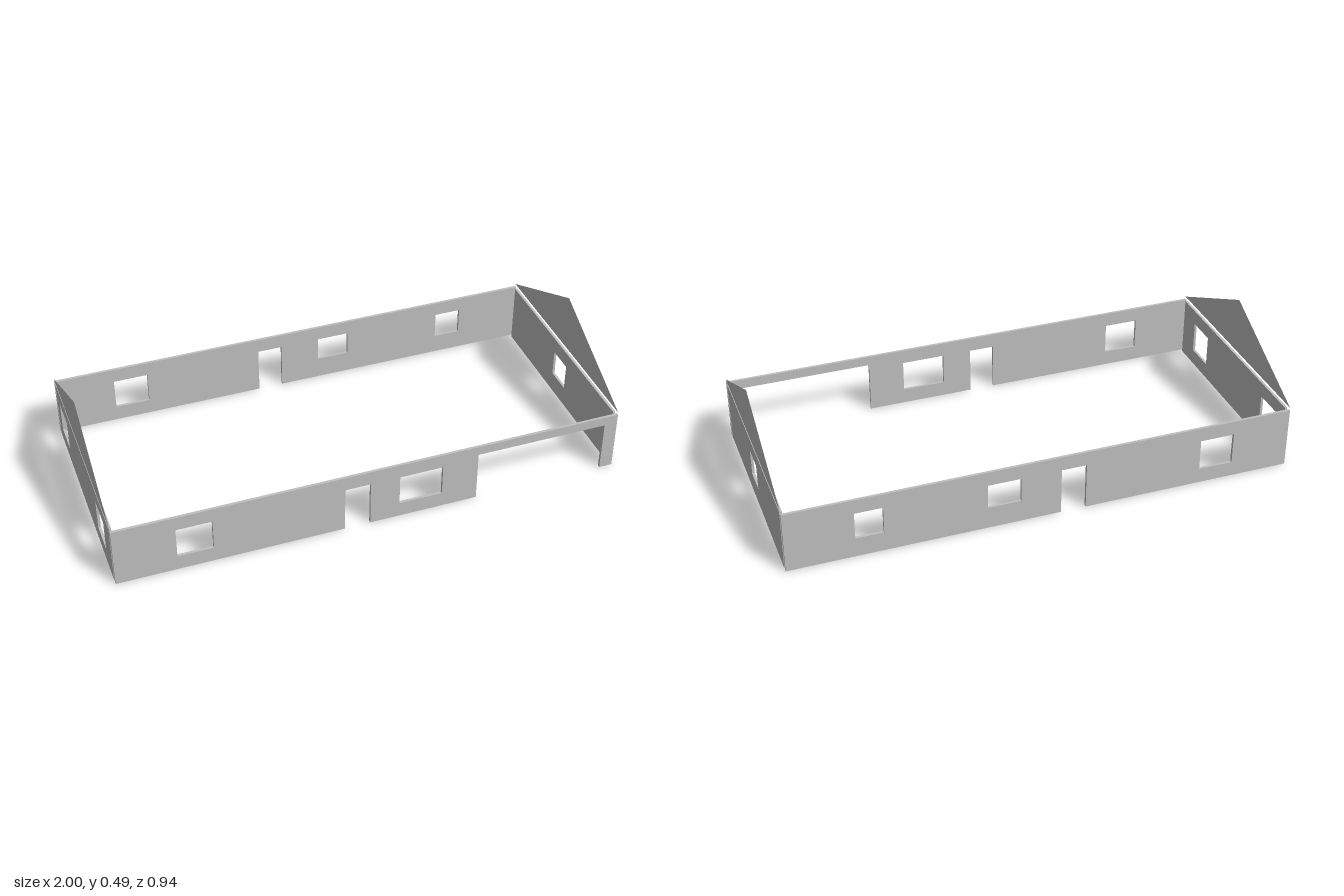
import * as THREE from 'three';

const WALL_H = 0.248;
const THICK = 0.011;

const plaster = new THREE.MeshStandardMaterial({ color: 0xc0c0c0 });
plaster.name = 'plasterGrey';
const sheet = plaster.clone();
sheet.name = 'plasterGreySheet';
sheet.side = THREE.DoubleSide;

// Wall panel: doors are notches [x0, x1, top], windows are holes [x0, x1, y0, y1]
function wallPanel(name, half, doors, windows, thick) {
  const shape = new THREE.Shape().moveTo(-half, 0);
  for (const [a, b, top] of doors) {
    shape.lineTo(a, 0).lineTo(a, top).lineTo(b, top).lineTo(b, 0);
  }
  shape.lineTo(half, 0).lineTo(half, WALL_H).lineTo(-half, WALL_H).closePath();
  for (const [a, b, y0, y1] of windows) {
    shape.holes.push(new THREE.Path()
      .moveTo(a, y0).lineTo(a, y1).lineTo(b, y1).lineTo(b, y0).closePath());
  }
  const geometry = new THREE.ExtrudeGeometry(shape, { depth: thick, bevelEnabled: false });
  const mesh = new THREE.Mesh(geometry, plaster);
  mesh.name = name;
  return mesh;
}

export function createModel() {
  const group = new THREE.Group();
  group.name = 'houseWalls';

  // Front wall with entrance, garage opening and two windows
  const front = wallPanel('frontWall', 1,
    [[-0.117, -0.016, 0.19], [0.418, 0.947, 0.21]],
    [[-0.765, -0.627, 0.062, 0.19], [0.101, 0.274, 0.062, 0.19]], THICK);
  front.position.z = 0.472 - THICK;

  // Back wall with door and three windows
  const back = wallPanel('backWall', 1,
    [[-0.158, -0.058, 0.19]],
    [[-0.765, -0.627, 0.062, 0.19], [0.101, 0.232, 0.09, 0.19], [0.63, 0.738, 0.08, 0.19]], THICK);
  back.position.z = -0.472;

  // End walls, drawn along z and turned to face sideways
  const left = wallPanel('leftEndWall', 0.449, [], [[-0.054, 0.054, 0.079, 0.186]], 0.01);
  const right = wallPanel('rightEndWall', 0.449, [],
    [[-0.392, -0.264, 0.062, 0.19], [0.22, 0.348, 0.062, 0.19]], 0.01);
  left.position.x = 1;
  right.position.x = -0.99;
  left.rotation.y = right.rotation.y = -Math.PI / 2;
  group.add(front, back, left, right);

  // Gables: flat triangular sheets floating just above the end walls
  const triangle = new THREE.Shape()
    .moveTo(-0.471, 0.258).lineTo(0.471, 0.258).lineTo(0, 0.487).closePath();
  const gableGeometry = new THREE.ShapeGeometry(triangle);
  for (const side of [1, -1]) {
    const gable = new THREE.Mesh(gableGeometry, sheet);
    gable.name = side > 0 ? 'leftGable' : 'rightGable';
    gable.rotation.y = side * Math.PI / 2;
    gable.position.x = side;
    group.add(gable);
  }
  return group;
}
